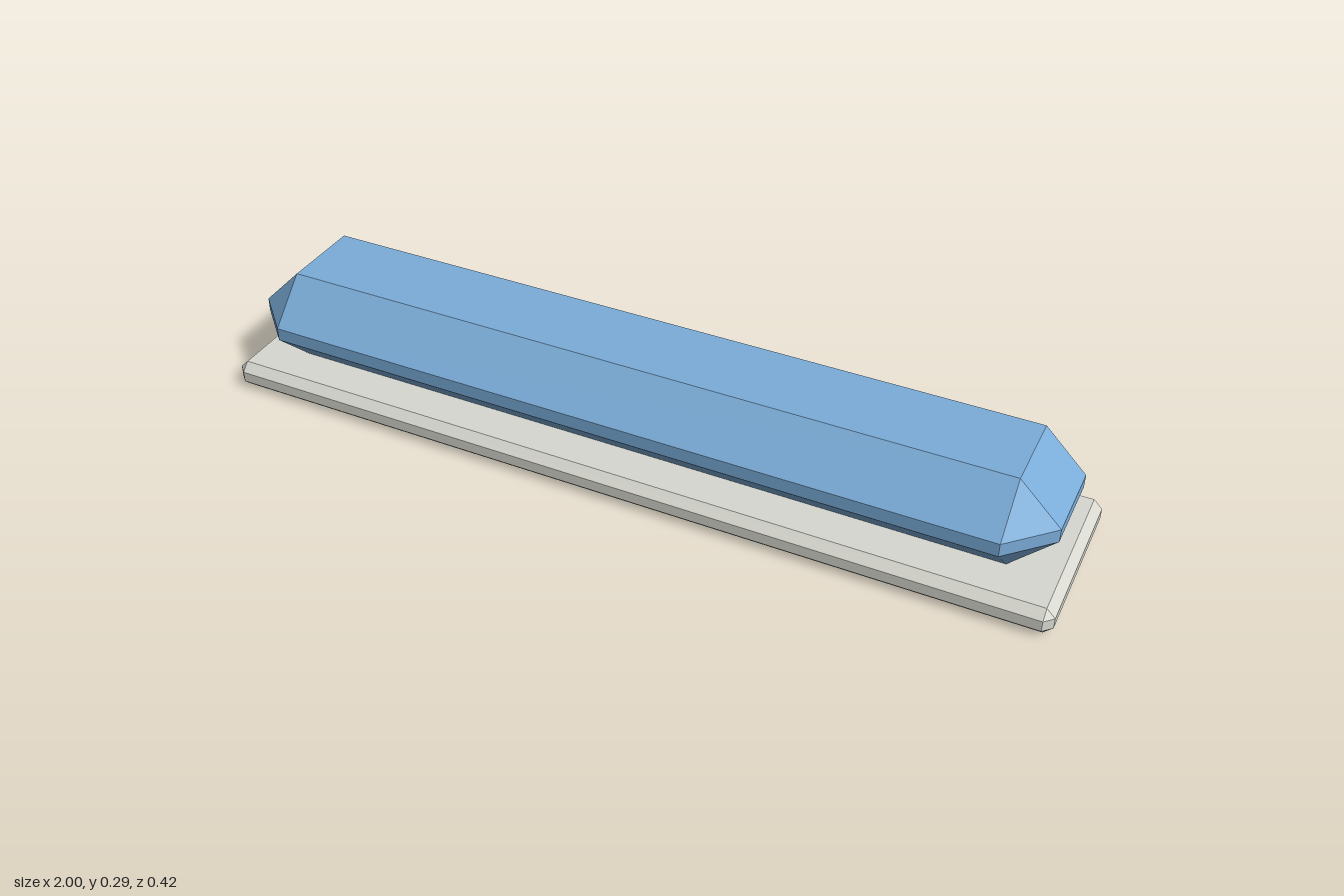
import * as THREE from 'three';
import { ConvexGeometry } from 'three/addons/geometries/ConvexGeometry.js';

// Box with every edge and corner cut flat by c; x, y, z are half sizes
function chamferedBox(x, y, z, c) {
  const points = [];
  for (const sx of [-1, 1]) for (const sy of [-1, 1]) for (const sz of [-1, 1]) {
    points.push(
      new THREE.Vector3(sx * x, sy * (y - c), sz * (z - c)),
      new THREE.Vector3(sx * (x - c), sy * y, sz * (z - c)),
      new THREE.Vector3(sx * (x - c), sy * (y - c), sz * z)
    );
  }
  return new ConvexGeometry(points);
}

export function createModel() {
  const group = new THREE.Group();
  const paleGrey = new THREE.MeshStandardMaterial({ color: 0xd8d8d1, flatShading: true });
  paleGrey.name = 'pale grey';
  const blue = new THREE.MeshStandardMaterial({ color: 0x7aacd8, flatShading: true });
  blue.name = 'light blue';

  const add = (name, geometry, material, y) => {
    const mesh = new THREE.Mesh(geometry, material);
    mesh.name = name;
    mesh.position.y = y;
    group.add(mesh);
  };

  // Thin base plate
  add('basePlate', chamferedBox(1, 0.033, 0.21, 0.02), paleGrey, 0.033);
  // Long faceted bar resting on the plate
  add('facetedBar', chamferedBox(0.966, 0.113, 0.194, 0.097), blue, 0.179);

  return group;
}
